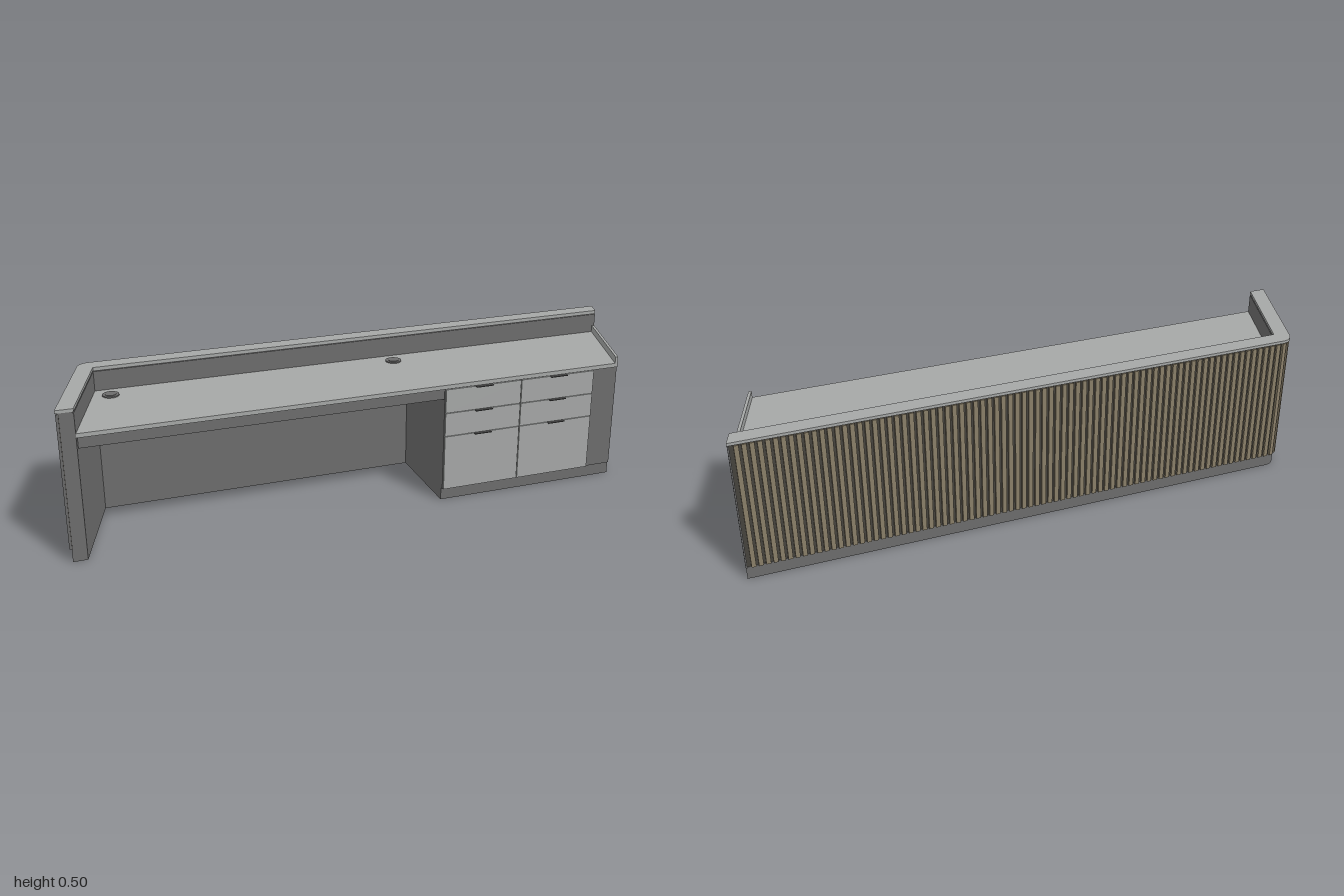
import * as THREE from 'three';

const FRONT = 0.19, BACK = -0.2, INNER = -0.145, SLOPE = 0.307, WALL = 0.055;

// Slanted end lines of the plan
const leftX = (z) => -1 + SLOPE * (FRONT - z);
const rightX = (z) => 0.88 + SLOPE * (FRONT - z);

export function createModel() {
  const model = new THREE.Group();
  model.name = 'receptionDesk';

  const material = (name, color) => {
    const m = new THREE.MeshStandardMaterial({ color });
    m.name = name;
    return m;
  };
  const darkGrey = material('darkGrey', 0x6c6c6c);
  const lightGrey = material('lightGrey', 0xa5a7a6);
  const wood = material('wood', 0x8a7f69);
  const shadow = material('grooveDark', 0x45423c);
  const metal = material('handleDark', 0x4c4c4c);

  const add = (name, geometry, mat, parent = model) => {
    const mesh = new THREE.Mesh(geometry, mat);
    mesh.name = name;
    parent.add(mesh);
    return mesh;
  };

  // Upright prism over a plan outline drawn as (x, -z)
  const prism = (name, shape, y0, y1, mat) => {
    const g = new THREE.ExtrudeGeometry(shape, { depth: y1 - y0, bevelEnabled: false, curveSegments: 8 });
    g.rotateX(-Math.PI / 2).translate(0, y0, 0);
    return add(name, g, mat);
  };
  const plan = (points) => new THREE.Shape(points.map(([x, z]) => new THREE.Vector2(x, -z)));

  const box = (name, x0, x1, y0, y1, z0, z1, mat, parent) => {
    const mesh = add(name, new THREE.BoxGeometry(x1 - x0, y1 - y0, z1 - z0), mat, parent);
    mesh.position.set((x0 + x1) / 2, (y0 + y1) / 2, (z0 + z1) / 2);
    return mesh;
  };

  // Outer line from the front of the left end, round the corner and along the back
  const traceOuter = (path, inset) => {
    const zb = BACK + inset, zc = zb + 0.032;
    path.moveTo(leftX(FRONT) + inset, -FRONT);
    path.lineTo(leftX(zc) + inset, -zc);
    path.quadraticCurveTo(leftX(zb) + inset, -zb, leftX(zb) + inset + 0.034, -zb);
    path.lineTo(rightX(zb), -zb);
    return path;
  };

  // L-shaped wall plan
  const wallPlan = (inset, innerInset = 0) => {
    const s = traceOuter(new THREE.Shape(), inset);
    const zi = INNER - innerInset, w = WALL - innerInset;
    s.lineTo(rightX(zi), -zi);
    s.lineTo(leftX(zi) + w, -zi);
    s.lineTo(leftX(FRONT) + w, -FRONT);
    s.closePath();
    return s;
  };

  // Wall: plinth, panel, dark slat backing, shadow gap and cap
  prism('wallPlinth', wallPlan(0.009), 0, 0.044, darkGrey);
  prism('wallPanel', wallPlan(0.011), 0.044, 0.486, darkGrey);
  prism('shadowGap', wallPlan(0.008, 0.004), 0.486, 0.49, darkGrey);
  prism('wallCap', wallPlan(0), 0.49, 0.5, lightGrey);

  const backing = traceOuter(new THREE.Path(), 0.0105).getPoints(8);
  const backingGroup = new THREE.Group();
  backingGroup.name = 'slatBacking';
  model.add(backingGroup);
  for (let i = 0; i < backing.length - 1; i++) {
    const a = backing[i], b = backing[i + 1];
    const strip = add('backingStrip', new THREE.BoxGeometry(a.distanceTo(b), 0.441, 0.002), shadow, backingGroup);
    strip.position.set((a.x + b.x) / 2, 0.2655, -(a.y + b.y) / 2);
    strip.rotation.y = Math.atan2(b.y - a.y, b.x - a.x);
  }

  // Vertical slats following the outer line, with plain end strips
  const slats = new THREE.Group();
  slats.name = 'slats';
  model.add(slats);
  const line = traceOuter(new THREE.Path(), 0.006);
  const slatShape = new THREE.BoxGeometry(0.0145, 0.442, 0.008);
  const endShape = new THREE.BoxGeometry(0.005, 0.442, 0.008);
  const count = 100, length = line.getLength();
  for (let i = 0; i < count; i++) {
    const end = i === 0 || i === count - 1;
    const margin = 0.0025 / length;
    const u = margin + (1 - 2 * margin) * i / (count - 1);
    const p = line.getPointAt(u), t = line.getTangentAt(u);
    const slat = add(end ? 'endStrip' : 'slat', end ? endShape : slatShape, end ? darkGrey : wood, slats);
    slat.position.set(p.x, 0.265, -p.y);
    slat.rotation.y = Math.atan2(t.y, t.x);
  }

  // Worktop, right-hand upstand and apron
  const edge = 0.01;
  prism('worktop', plan([
    [leftX(FRONT) + WALL, FRONT], [rightX(FRONT) - edge, FRONT],
    [rightX(INNER) - edge, INNER], [leftX(INNER) + WALL, INNER],
  ]), 0.406, 0.42, lightGrey);
  prism('upstand', plan([
    [rightX(FRONT) - edge, FRONT], [rightX(FRONT), FRONT],
    [rightX(INNER), INNER], [rightX(INNER) - edge, INNER],
  ]), 0.406, 0.443, lightGrey);
  box('apron', leftX(0.175) + WALL, 0.24, 0.368, 0.406, 0.165, 0.18, darkGrey);

  // Drawer cabinet and its recessed plinth
  const cabinetPlan = (z) => plan([[0.24, z], [rightX(z), z], [rightX(INNER), INNER], [0.24, INNER]]);
  prism('cabinetPlinth', cabinetPlan(0.173), 0, 0.044, darkGrey);
  prism('cabinet', cabinetPlan(0.183), 0.044, 0.406, darkGrey);

  // Two columns of three drawers with thin pull handles
  const columns = [[0.242, 0.514], [0.517, 0.789]];
  const rows = [[0.045, 0.2365], [0.2385, 0.3195], [0.3215, 0.4035]];
  for (const [x0, x1] of columns) {
    const mid = (x0 + x1) / 2;
    for (const [y0, y1] of rows) {
      box('drawerFront', x0, x1, y0, y1, 0.183, 0.19, lightGrey);
      box('drawerHandle', mid - 0.03, mid + 0.03, y1 - 0.002, y1 + 0.001, 0.184, 0.2, metal);
    }
  }

  // Cable grommets
  for (const x of [-0.8, 0.165]) {
    const ring = add('cableGrommet', new THREE.CylinderGeometry(0.027, 0.027, 0.004, 24), darkGrey);
    ring.position.set(x, 0.422, -0.09);
    const lid = add('grommetLid', new THREE.CylinderGeometry(0.018, 0.018, 0.002, 24), darkGrey);
    lid.position.set(x, 0.4245, -0.09);
  }

  return model;
}
